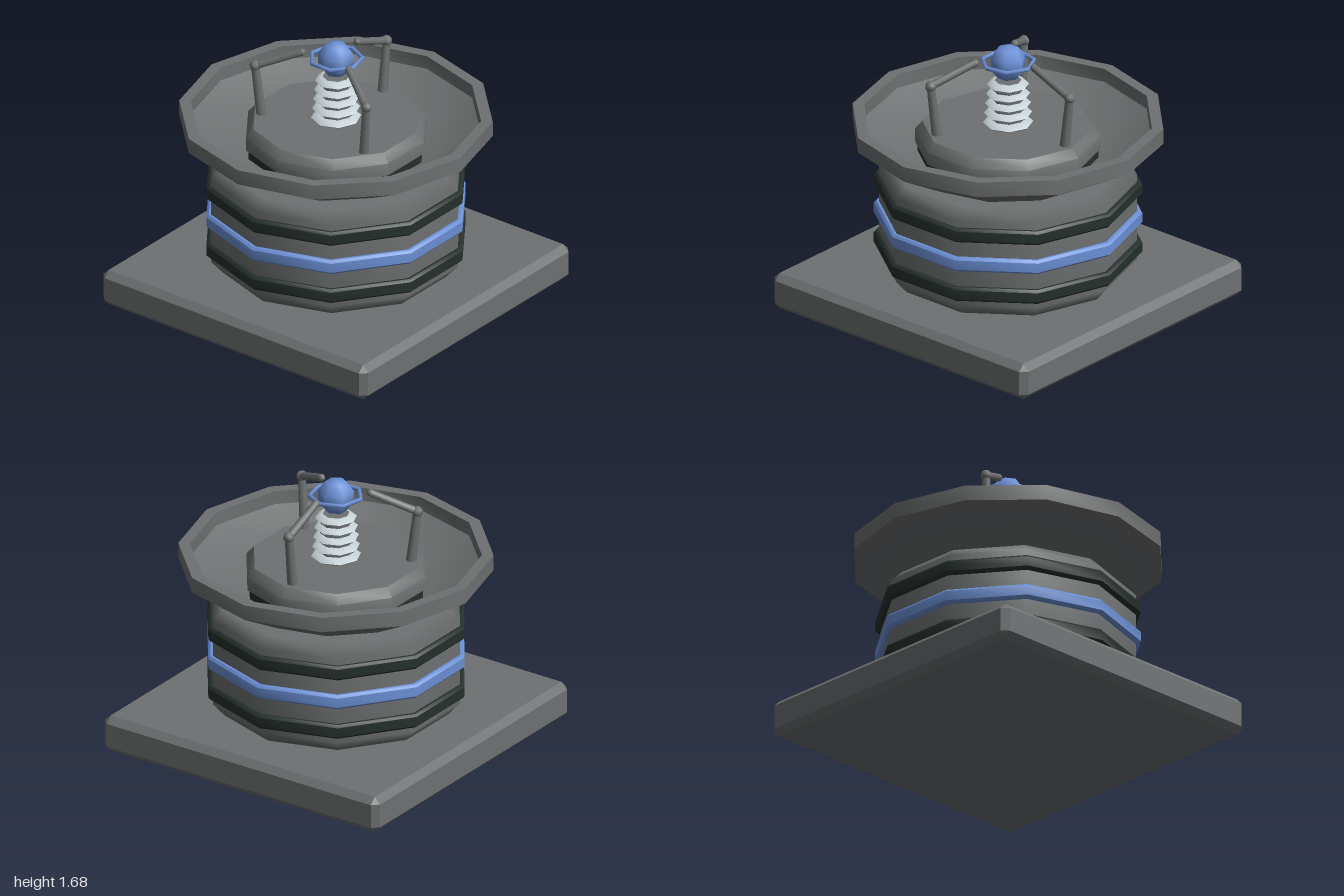
import * as THREE from 'three';
import { toCreasedNormals } from 'three/addons/utils/BufferGeometryUtils.js';
import { ConvexGeometry } from 'three/addons/geometries/ConvexGeometry.js';

const material = (name, color) => {
  const m = new THREE.MeshStandardMaterial({ color });
  m.name = name;
  return m;
};

export function createModel() {
  const grey = material('metal grey', 0x6e7071);
  const dark = material('dark rubber', 0x26302d);
  const blue = material('energy blue', 0x6b90d6);
  const pale = material('pale ceramic', 0xc6d1d5);

  const model = new THREE.Group();
  model.name = 'emitterPlatform';

  const add = (name, geometry, mat, parent = model) => {
    const mesh = new THREE.Mesh(geometry, mat);
    mesh.name = name;
    parent.add(mesh);
    return mesh;
  };

  // Turned solid with few sides and a corner on +x; profile runs bottom to top
  const turned = (profile, sides, creased = true) => {
    const points = profile.map(([r, y]) => new THREE.Vector2(r, y));
    const geometry = new THREE.LatheGeometry(points, sides, Math.PI / 2);
    return creased ? toCreasedNormals(geometry, 0.68) : geometry;
  };

  // Straight rod between two points
  const rod = (name, a, b, rA, rB, parent) => {
    const along = b.clone().sub(a);
    const mesh = add(name, new THREE.CylinderGeometry(rB, rA, along.length(), 8), grey, parent);
    mesh.position.copy(a).add(b).multiplyScalar(0.5);
    mesh.quaternion.setFromUnitVectors(new THREE.Vector3(0, 1, 0), along.normalize());
  };

  // Square base with every edge chamfered
  const half = [1, 0.115, 1], cut = 0.04, corners = [];
  for (const sx of [-1, 1]) for (const sy of [-1, 1]) for (const sz of [-1, 1]) {
    for (let axis = 0; axis < 3; axis++) {
      const p = half.map((h, i) => (i === axis ? h : h - cut));
      corners.push(new THREE.Vector3(sx * p[0], sy * p[1], sz * p[2]));
    }
  }
  add('base', new ConvexGeometry(corners), grey).position.y = 0.115;

  // Ten-sided drum with softly shaded shoulders
  add('drum', turned([[0, 0.23], [0.7, 0.23], [0.77, 0.31], [0.77, 0.86], [0.7, 0.925], [0, 0.925]], 10, false), grey);

  // Bands around the drum
  const bands = [['lowerBand', 0.39, dark], ['middleBand', 0.585, blue], ['upperBand', 0.775, dark]];
  for (const [name, y, mat] of bands) {
    add(name, turned([
      [0.75, y - 0.045], [0.785, y - 0.045], [0.8, y - 0.03],
      [0.8, y + 0.03], [0.785, y + 0.045], [0.75, y + 0.045],
    ], 10), mat);
  }

  // Twelve-sided dish with a thick rim
  add('dish', turned([
    [0, 0.92], [0.58, 0.92], [0.94, 1.12], [0.94, 1.215],
    [0.87, 1.215], [0.87, 1.13], [0.57, 0.97], [0, 0.97],
  ], 12), grey);

  // Raised platform in the dish, on a dark neck
  add('platformNeck', turned([[0.54, 0.96], [0.54, 1.04]], 10), dark);
  add('platform', turned([[0, 1.03], [0.555, 1.03], [0.555, 1.11], [0.51, 1.165], [0, 1.165]], 10), grey);

  // Ribbed insulator, narrowing upwards
  add('insulatorCore', new THREE.CylinderGeometry(0.09, 0.105, 0.3, 8), grey).position.y = 1.3;
  for (let i = 0; i < 5; i++) {
    const y = 1.18 + i * 0.062, r = 0.15 - i * 0.006;
    add('insulatorRib', turned([
      [0.08, y - 0.026], [r - 0.035, y - 0.026], [r, y], [r - 0.035, y + 0.026], [0.08, y + 0.026],
    ], 8), pale);
  }

  // Glowing orb and the ring around it
  const orb = add('orb', new THREE.SphereGeometry(0.113, 6, 5), blue);
  orb.position.y = 1.568;
  const ring = add('orbRing', new THREE.TorusGeometry(0.158, 0.013, 6, 7), blue);
  ring.rotation.x = Math.PI / 2;
  ring.position.y = 1.572;

  // Three jointed arms reaching towards the orb
  for (let i = 0; i < 3; i++) {
    const arm = new THREE.Group();
    arm.name = 'arm';
    arm.rotation.y = (i * Math.PI * 2) / 3;
    const foot = new THREE.Vector3(0.445, 1.14, 0);
    const elbow = new THREE.Vector3(0.485, 1.485, 0);
    const tip = new THREE.Vector3(0.205, 1.597, 0);
    rod('lowerArm', foot, elbow, 0.031, 0.025, arm);
    rod('upperArm', elbow, tip, 0.025, 0.023, arm);
    add('elbow', new THREE.SphereGeometry(0.034, 8, 6), grey, arm).position.copy(elbow);
    add('armTip', new THREE.SphereGeometry(0.023, 8, 6), grey, arm).position.copy(tip);
    model.add(arm);
  }

  return model;
}
